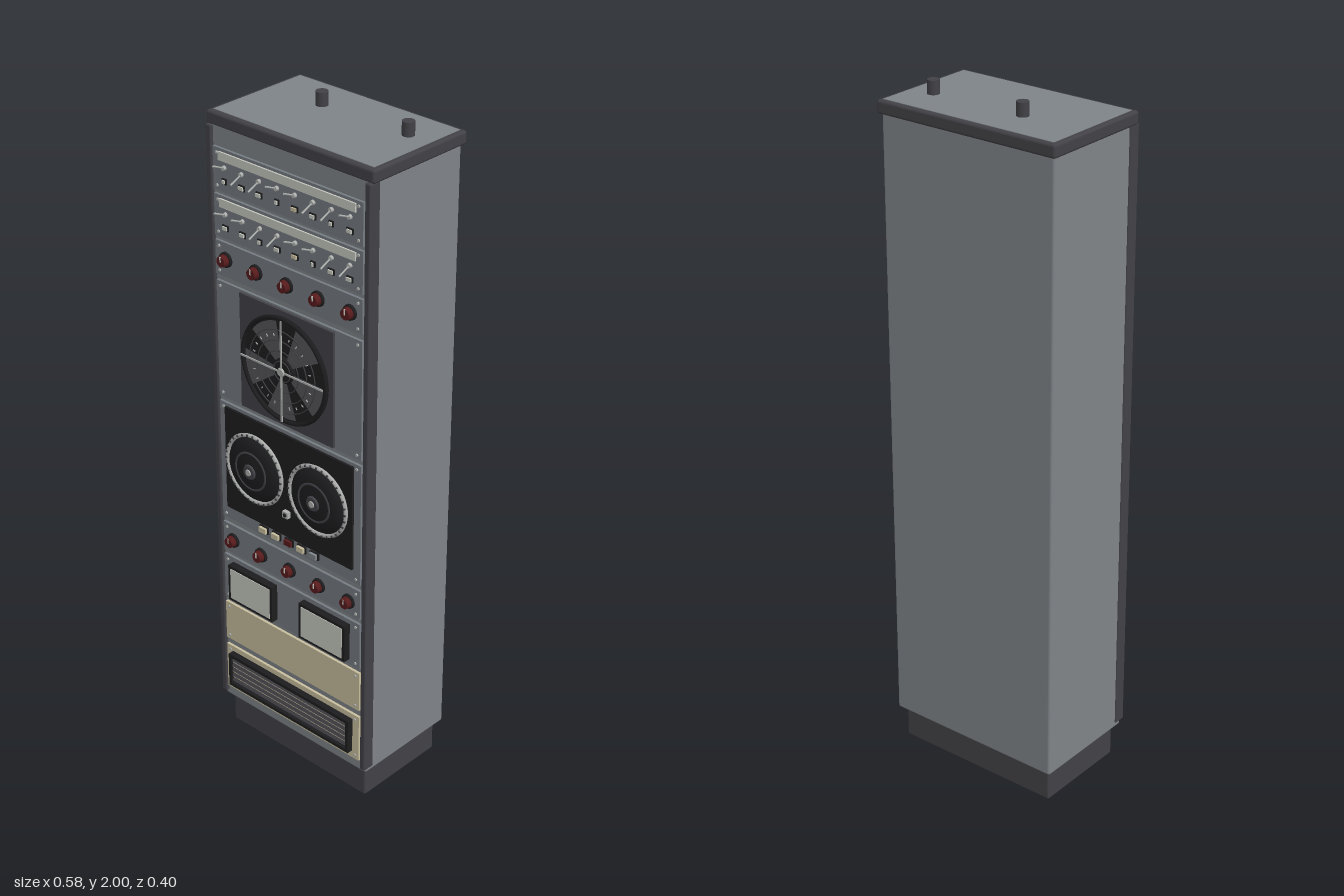
import * as THREE from 'three';
import { RoundedBoxGeometry } from 'three/addons/geometries/RoundedBoxGeometry.js';

const mat = (name, color, side = THREE.FrontSide) => {
  const m = new THREE.MeshStandardMaterial({ color, side });
  m.name = name;
  return m;
};

export function createModel() {
  const M = {
    body: mat('cabinet grey', 0x7f8488),
    panel: mat('panel grey', 0x757c82),
    dark: mat('charcoal trim', 0x424146),
    black: mat('black', 0x1d1d1f),
    silver: mat('silver', 0xaeb0ae),
    pale: mat('pale face', 0xc6c8c0),
    cream: mat('cream', 0xc8bfa0),
    red: mat('dark red', 0x571b1c),
    blade: mat('blade grey', 0x55565a, THREE.DoubleSide),
  };
  const root = new THREE.Group();
  root.name = 'equipmentRack';

  const add = (name, geo, m, x = 0, y = 0, z = 0, parent = root) => {
    const mesh = new THREE.Mesh(geo, m);
    mesh.name = name;
    mesh.position.set(x, y, z);
    parent.add(mesh);
    return mesh;
  };
  const group = (name, x, y, z) => {
    const g = new THREE.Group();
    g.name = name;
    g.position.set(x, y, z);
    root.add(g);
    return g;
  };
  // box given by its x centre, width, y range and z range
  const slab = (name, m, x, w, y0, y1, z0, z1, parent = root) =>
    add(name, new THREE.BoxGeometry(w, y1 - y0, z1 - z0), m, x, (y0 + y1) / 2, (z0 + z1) / 2, parent);
  const rounded = (name, m, x, w, y0, y1, z0, z1, r) =>
    add(name, new RoundedBoxGeometry(w, y1 - y0, z1 - z0, 2, r), m, x, (y0 + y1) / 2, (z0 + z1) / 2);
  // cylinder whose axis points to the front
  const disc = (r0, r1, d, n = 20) => new THREE.CylinderGeometry(r1, r0, d, n).rotateX(Math.PI / 2);

  // cabinet shell
  rounded('base', M.dark, 0, 0.53, 0, 0.11, -0.17, 0.13, 0.006);
  rounded('cabinet', M.body, 0, 0.565, 0.1, 1.935, -0.19, 0.148, 0.008);
  rounded('cap', M.dark, 0, 0.582, 1.922, 1.96, -0.201, 0.15, 0.008);
  slab('topPlate', M.body, 0, 0.554, 1.955, 1.9615, -0.188, 0.135);
  for (const x of [-0.09, 0.205])
    add('roofPost', new THREE.CylinderGeometry(0.017, 0.017, 0.05, 16), M.dark, x, 1.975, -0.073);
  for (const s of [-1, 1])
    rounded('cornerRail', M.dark, s * 0.277, 0.019, 0.115, 1.925, 0.12, 0.158, 0.005);

  // front panels with corner screws
  const F = 0.156;
  const screwGeo = disc(0.005, 0.004, 0.004, 8);
  const panel = (name, y0, y1, m = M.panel) => {
    slab(name, m, 0, 0.525, y0, y1, 0.14, F);
    for (const x of [-0.248, 0.248])
      for (const y of [y0 + 0.014, y1 - 0.014]) add('screw', screwGeo, M.silver, x, y, F + 0.001);
  };

  // switch panels
  const stick = new THREE.CylinderGeometry(0.0028, 0.002, 0.042, 8).rotateX(Math.PI / 2).translate(0, 0, 0.021);
  const collar = disc(0.007, 0.006, 0.008, 10);
  [1.75, 1.618].forEach((y0, row) => {
    panel('switchPanel', y0, y0 + 0.12);
    slab('labelStrip', M.pale, 0, 0.48, y0 + 0.088, y0 + 0.112, F, F + 0.005);
    for (let i = 0; i < 8; i++) {
      const x = -0.22 + i * 0.0629;
      add('switchCollar', collar, M.silver, x, y0 + 0.07, F + 0.004);
      const up = (i * 3 + row) % 4 < 2 ? 1 : -1;
      add('toggle', stick, M.silver, x, y0 + 0.07, F + 0.003).rotation.x = -up * 0.42;
      const wide = (i + row) % 3 !== 0;
      slab('indicatorBezel', M.black, x, wide ? 0.022 : 0.016, y0 + 0.024, y0 + 0.04, F, F + 0.004);
      slab('indicator', i % 5 === 4 ? M.cream : M.pale, x, wide ? 0.016 : 0.008, y0 + 0.027, y0 + 0.037, F + 0.003, F + 0.008);
    }
  });

  // knob rows
  const skirt = disc(0.022, 0.021, 0.008, 24);
  const grip = disc(0.018, 0.015, 0.016, 20);
  [[1.505, 1.605, 1.558], [0.628, 0.722, 0.674]].forEach(([y0, y1, y]) => {
    panel('knobPanel', y0, y1);
    for (let i = -2; i <= 2; i++) {
      const k = group('knob', i * 0.111, y, F);
      add('knobSkirt', skirt, M.black, 0, 0, 0.004, k);
      add('knobGrip', grip, M.red, 0, 0, 0.015, k);
      slab('knobPointer', M.pale, 0, 0.004, 0, 0.015, 0.021, 0.0245, k);
    }
  });

  // fan with wire guard
  panel('fanPanel', 1.134, 1.487);
  slab('fanPlate', M.dark, 0, 0.338, 1.14, 1.482, F, 0.164);
  const fan = group('fan', 0, 1.312, 0.164);
  add('fanWell', disc(0.155, 0.155, 0.004, 40), M.black, 0, 0, 0.001, fan);
  for (let i = 0; i < 5; i++) {
    const blade = add('fanBlade', new THREE.RingGeometry(0.035, 0.142, 8, 1, 0, 0.75), M.blade, 0, 0, 0.008, fan);
    blade.rotation.z = 0.5 + (i * Math.PI * 2) / 5;
  }
  add('fanHub', disc(0.04, 0.034, 0.01, 24), M.black, 0, 0, 0.008, fan);
  add('guardRim', new THREE.TorusGeometry(0.152, 0.006, 6, 40), M.black, 0, 0, 0.008, fan);
  for (const r of [0.03, 0.06, 0.09, 0.12])
    add('guardRing', new THREE.TorusGeometry(r, 0.0016, 5, 36), M.dark, 0, 0, 0.015, fan);
  for (let i = 0; i < 24; i++) {
    const a = (i * Math.PI) / 12;
    add('guardTick', new THREE.BoxGeometry(0.008, 0.0025, 0.002), M.silver,
      Math.cos(a) * 0.105, Math.sin(a) * 0.105, 0.016, fan).rotation.z = a;
  }
  for (const a of [0, Math.PI / 2])
    add('guardBar', new THREE.BoxGeometry(0.3, 0.005, 0.003), M.silver, 0, 0, 0.018, fan).rotation.z = a;
  add('guardCentre', disc(0.013, 0.011, 0.005, 16), M.silver, 0, 0, 0.02, fan);

  // tape deck with two reels
  panel('tapePanel', 0.742, 1.118);
  slab('tapePlate', M.black, 0, 0.476, 0.785, 1.108, F, 0.163);
  const profile = [[0, 0.026], [0.03, 0.026], [0.04, 0.022], [0.055, 0.023], [0.075, 0.019], [0.093, 0.012], [0.098, 0]];
  const reelGeo = new THREE.LatheGeometry(profile.map(p => new THREE.Vector2(...p)).reverse(), 40).rotateX(Math.PI / 2);
  for (const s of [-1, 1]) {
    const reel = group('reel', s * 0.119, 0.958, 0.163);
    add('reelFlange', reelGeo, M.black, 0, 0, 0, reel);
    add('reelRim', new THREE.TorusGeometry(0.103, 0.006, 6, 48), M.silver, 0, 0, 0.007, reel);
    for (let i = 0; i < 32; i++) {
      const a = (i * Math.PI) / 16;
      add('rimNotch', new THREE.BoxGeometry(0.006, 0.005, 0.004), M.dark,
        Math.cos(a) * 0.104, Math.sin(a) * 0.104, 0.0125, reel).rotation.z = a;
    }
    add('reelGroove', new THREE.TorusGeometry(0.056, 0.005, 6, 40), M.dark, 0, 0, 0.0195, reel);
    add('reelHub', disc(0.024, 0.02, 0.006, 20), M.dark, 0, 0, 0.028, reel);
    add('reelSpindle', disc(0.011, 0.009, 0.006, 12), M.silver, 0, 0, 0.031, reel);
  }
  add('tapeHead', new THREE.BoxGeometry(0.02, 0.02, 0.012), M.silver, 0, 0.863, 0.169);
  add('tapeHeadSlot', disc(0.006, 0.006, 0.003, 12), M.black, 0, 0.863, 0.1755);
  [M.cream, M.cream, M.red, M.cream, M.body].forEach((m, i) => {
    const x = (i - 2) * 0.048;
    slab('buttonBezel', M.black, x, 0.032, 0.756, 0.778, F, F + 0.005);
    slab('button', m, x, 0.025, 0.759, 0.775, F + 0.004, F + 0.013);
  });

  // meters
  panel('meterPanel', 0.462, 0.612);
  for (const s of [-1, 1]) {
    slab('meterFrame', M.black, s * 0.139, 0.174, 0.48, 0.598, F, 0.178);
    slab('meterFace', M.pale, s * 0.139, 0.155, 0.489, 0.589, 0.176, 0.18);
  }

  // blank cover and louvred vent
  panel('blankCover', 0.317, 0.446, M.cream);
  panel('ventPanel', 0.14, 0.294, M.cream);
  slab('ventBack', M.black, 0, 0.47, 0.166, 0.276, F, 0.161);
  for (const y of [0.17, 0.272]) slab('ventFrame', M.black, 0, 0.476, y - 0.005, y + 0.005, F, 0.175);
  for (const s of [-1, 1]) slab('ventFrame', M.black, s * 0.233, 0.01, 0.166, 0.276, F, 0.175);
  for (let i = 0; i < 5; i++) {
    const y = 0.187 + i * 0.0175;
    add('louvre', new THREE.BoxGeometry(0.456, 0.011, 0.004), M.dark, 0, y, 0.167).rotation.x = -0.5;
    if (i < 4) slab('louvreTrim', M.cream, 0, 0.456, y + 0.0075, y + 0.0105, 0.16, 0.168);
  }
  return root;
}
